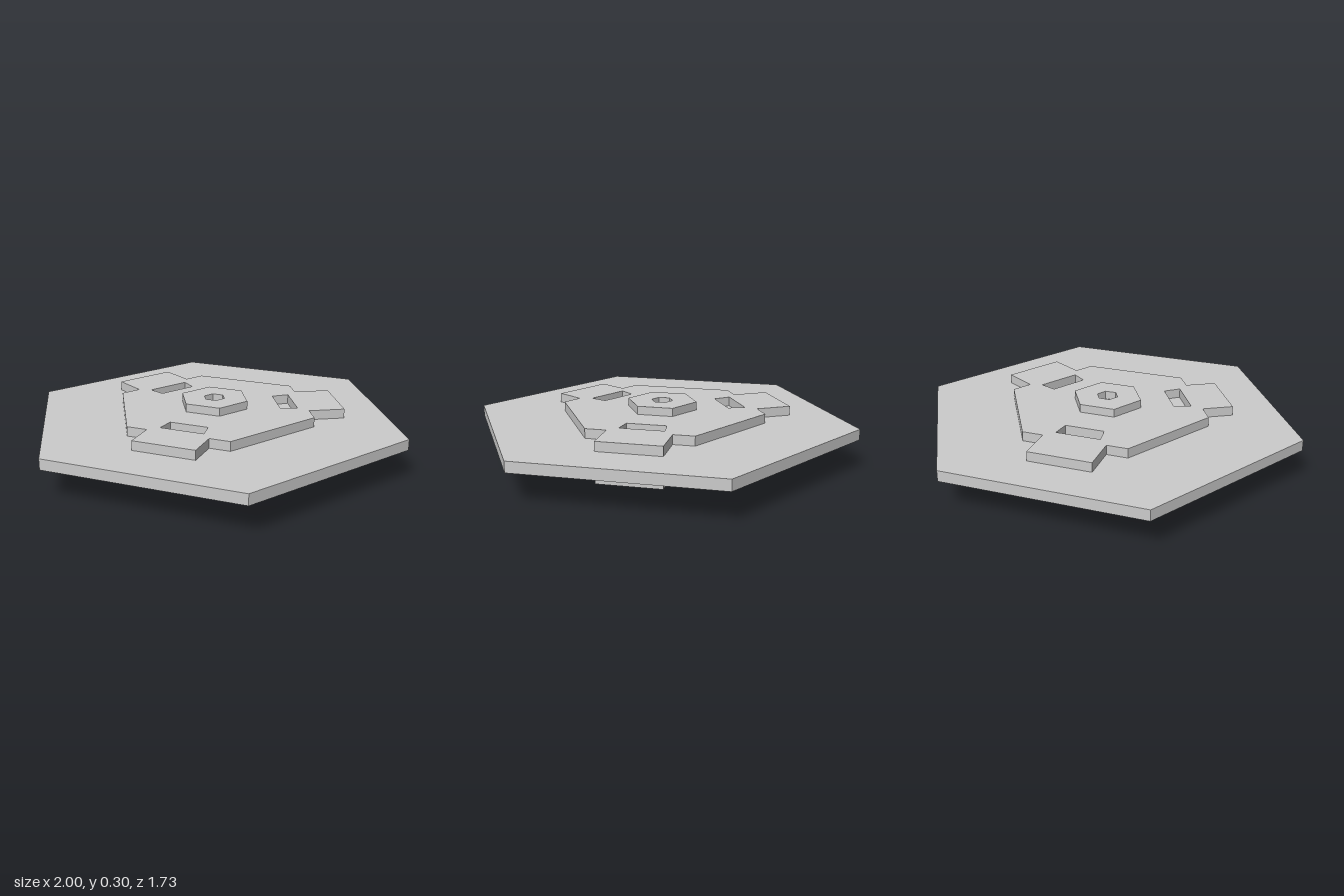
import * as THREE from 'three';
import { mergeGeometries } from 'three/addons/utils/BufferGeometryUtils.js';

const material = new THREE.MeshStandardMaterial({ color: 0xcccccc, flatShading: true });
const sheet = new THREE.MeshStandardMaterial({ color: 0xcccccc, flatShading: true, side: THREE.DoubleSide });

// Heights of the stacked layers
const Y = { skirt: 0, base: 0.055, plate: 0.155, plateTop: 0.21, bodyTop: 0.258, bossTop: 0.3 };
const TURN = (Math.PI * 2) / 3;
const AXIS = new THREE.Vector2();

const hexagon = (r) => Array.from({ length: 6 }, (_, i) =>
  new THREE.Vector2(r * Math.cos((i * Math.PI) / 3), r * Math.sin((i * Math.PI) / 3)));

const turned = (points, i) => points.map(([x, z]) =>
  new THREE.Vector2(x, z).rotateAround(AXIS, i * TURN));

// Vertical prism from an (x, z) outline, with optional holes
function prism(name, outline, y0, y1, holes = []) {
  const shape = new THREE.Shape(outline);
  holes.forEach((h) => shape.holes.push(new THREE.Path(h)));
  const geometry = new THREE.ExtrudeGeometry(shape, { depth: y1 - y0, bevelEnabled: false });
  geometry.rotateX(Math.PI / 2).translate(0, y1, 0);
  const mesh = new THREE.Mesh(geometry, material);
  mesh.name = name;
  return mesh;
}

// Open ring of upright walls along a closed outline
function skirt(name, outline, y0, y1) {
  const walls = outline.map((a, i) => {
    const b = outline[(i + 1) % outline.length];
    return new THREE.PlaneGeometry(a.distanceTo(b), y1 - y0)
      .rotateY(Math.atan2(a.y - b.y, b.x - a.x))
      .translate((a.x + b.x) / 2, (y0 + y1) / 2, (a.y + b.y) / 2);
  });
  const mesh = new THREE.Mesh(mergeGeometries(walls), sheet);
  mesh.name = name;
  return mesh;
}

export function createModel() {
  const model = new THREE.Group();
  model.name = 'hexagonalPlate';

  // Hexagonal body outline with an arm on every other side
  const body = [];
  const slots = [];
  for (let i = 0; i < 3; i++) {
    const reach = i === 0 ? 0.62 : 0.645;
    body.push(...turned([
      [0.266, 0.461], [0.16, 0.461], [0.16, reach],
      [-0.16, reach], [-0.16, 0.461], [-0.266, 0.461],
    ], i));
    slots.push(turned([[-0.1, 0.325], [0.1, 0.325], [0.113, 0.413], [-0.113, 0.413]], i));
  }

  model.add(
    prism('plate', hexagon(1), Y.plate, Y.plateTop),
    prism('lowerBody', body, Y.base, Y.plate),
    prism('upperBody', body, Y.plateTop, Y.bodyTop, slots),
    prism('centreBoss', hexagon(0.18), Y.bodyTop, Y.bossTop, [hexagon(0.055)]),
  );

  // Hollow sockets below, in line with the slots above
  slots.forEach((s, i) => model.add(skirt(`socket${i + 1}`, s, Y.skirt, Y.base)));
  return model;
}
